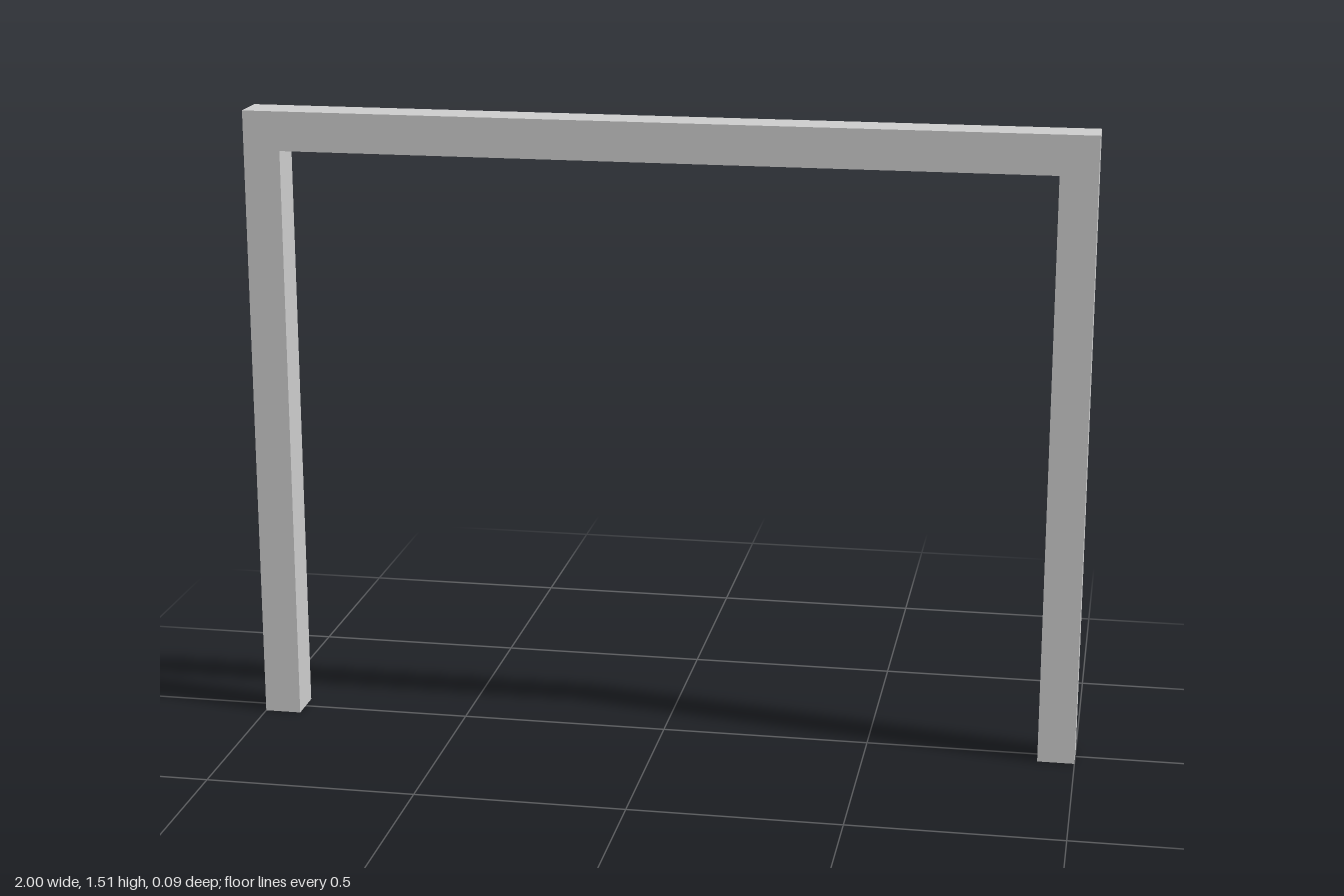
import * as THREE from 'three';

const HALF = 1, HEIGHT = 1.508, DEPTH = 0.094;
const LEG = 0.088, BEAM = 0.094;

// Removes the triangles lying flat on the ground, leaving the legs open underneath
function openBottom(geometry) {
  const source = geometry.index ? geometry.toNonIndexed() : geometry;
  const p = source.attributes.position;
  const kept = [];
  for (let i = 0; i < p.count; i += 3) {
    const top = Math.max(p.getY(i), p.getY(i + 1), p.getY(i + 2));
    if (top > 1e-4) kept.push(i, i + 1, i + 2);
  }
  source.setIndex(kept);
  return source;
}

export function createModel() {
  const group = new THREE.Group();
  group.name = 'portalFrame';

  // Outline of two legs joined by the top beam
  const inner = HALF - LEG, under = HEIGHT - BEAM;
  const outline = new THREE.Shape([
    [-HALF, 0], [-inner, 0], [-inner, under], [inner, under],
    [inner, 0], [HALF, 0], [HALF, HEIGHT], [-HALF, HEIGHT],
  ].map(([x, y]) => new THREE.Vector2(x, y)));

  // Hollow frame shell, open at the feet
  const geometry = new THREE.ExtrudeGeometry(outline, { depth: DEPTH, bevelEnabled: false });
  geometry.translate(0, 0, -DEPTH / 2);
  const frame = new THREE.Mesh(
    openBottom(geometry),
    new THREE.MeshStandardMaterial({ color: 0xcccccc, side: THREE.DoubleSide }),
  );
  frame.name = 'legsAndTopBeam';
  group.add(frame);
  return group;
}
